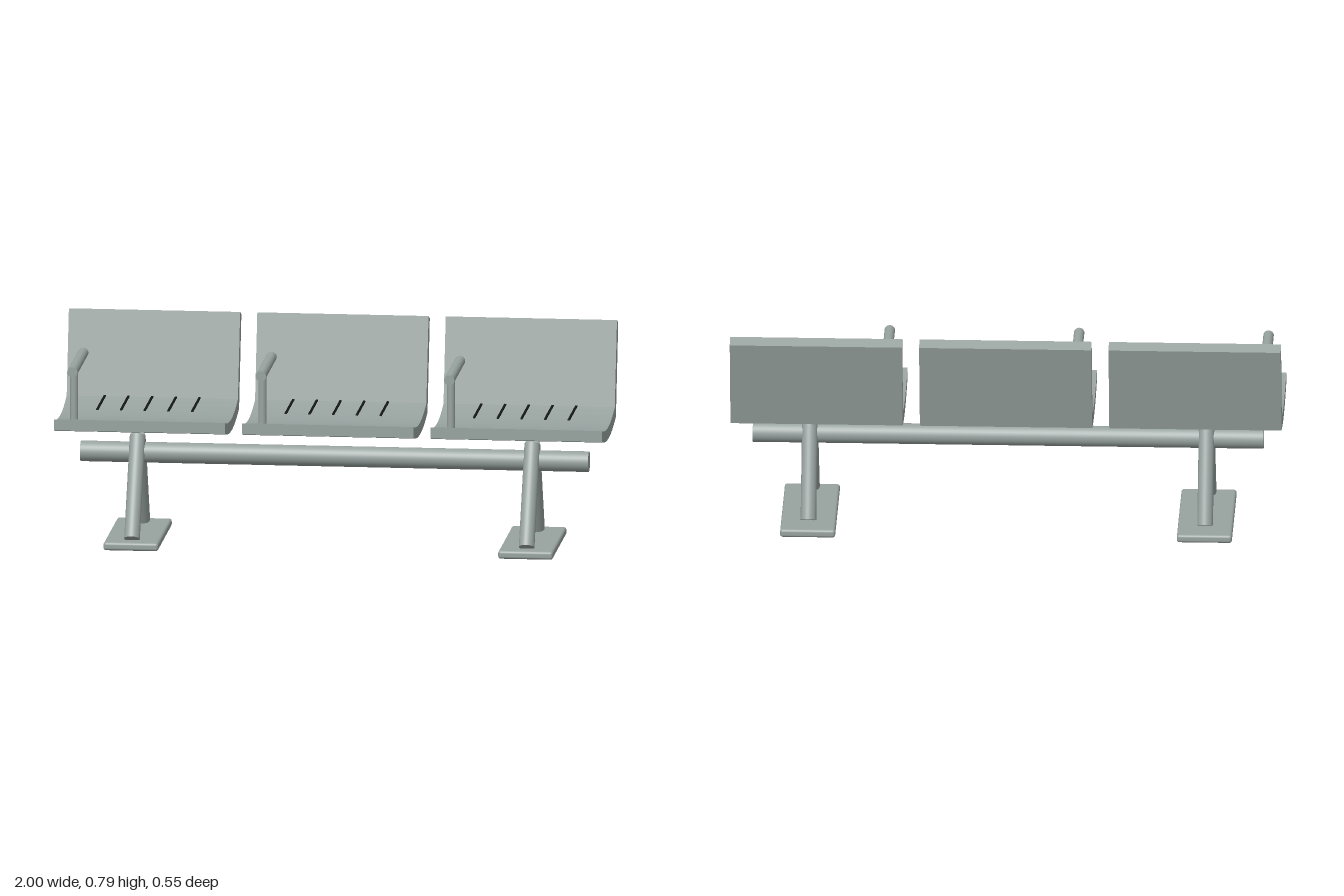
import * as THREE from 'three';
import { toCreasedNormals } from 'three/addons/utils/BufferGeometryUtils.js';
import { RoundedBoxGeometry } from 'three/addons/geometries/RoundedBoxGeometry.js';

const SEAT_WIDTH = 0.625;
const SEAT_SPACING = 0.6875;
const BEAM_Y = 0.32;
const BEAM_Z = 0.035;

export function createModel() {
  const metal = new THREE.MeshStandardMaterial({ color: 0x98a3a0 });
  metal.name = 'grey metal';
  const dark = new THREE.MeshStandardMaterial({ color: 0x141616 });
  dark.name = 'slot black';

  const add = (parent, name, geometry, material = metal) => {
    const mesh = new THREE.Mesh(geometry, material);
    mesh.name = name;
    parent.add(mesh);
    return mesh;
  };

  // Round tube between two points
  const tube = (parent, name, from, to, radius) => {
    const a = new THREE.Vector3(...from);
    const b = new THREE.Vector3(...to);
    const dir = b.clone().sub(a);
    const mesh = add(parent, name, new THREE.CylinderGeometry(radius, radius, dir.length(), 32));
    mesh.position.copy(a).add(b).multiplyScalar(0.5);
    mesh.quaternion.setFromUnitVectors(new THREE.Vector3(0, 1, 0), dir.normalize());
    return mesh;
  };

  // Side profile of seat and backrest (shape x becomes z)
  const profile = new THREE.Shape();
  profile.moveTo(0.275, 0.483);
  profile.quadraticCurveTo(0.058, 0.426, -0.158, 0.484);
  profile.lineTo(-0.232, 0.792);
  profile.lineTo(-0.274, 0.775);
  profile.lineTo(-0.197, 0.442);
  profile.quadraticCurveTo(0.039, 0.38, 0.275, 0.442);
  profile.closePath();
  const shell = new THREE.ExtrudeGeometry(profile, {
    depth: SEAT_WIDTH, bevelEnabled: false, curveSegments: 20,
  });
  shell.translate(0, 0, -SEAT_WIDTH / 2);
  shell.rotateY(-Math.PI / 2);
  const shellGeometry = toCreasedNormals(shell, 0.3);

  const bench = new THREE.Group();
  bench.name = 'bench';

  // Three seats, each with slots and an armrest on its right side
  for (let i = -1; i <= 1; i++) {
    const seat = new THREE.Group();
    seat.name = 'seat';
    seat.position.x = i * SEAT_SPACING;
    bench.add(seat);
    add(seat, 'seatShell', shellGeometry);
    for (let s = -2; s <= 2; s++) {
      const slot = add(seat, 'seatSlot', new THREE.BoxGeometry(0.008, 0.004, 0.256), dark);
      slot.position.set(s * 0.0865, 0.487, -0.027);
    }
    tube(seat, 'armrestBar', [-0.25, 0.648, 0.225], [-0.25, 0.648, -0.137], 0.019);
    tube(seat, 'armrestPost', [-0.25, 0.45, 0.163], [-0.25, 0.636, 0.163], 0.0145);
  }

  // Long support beam
  tube(bench, 'beam', [-0.927, BEAM_Y, BEAM_Z], [0.927, BEAM_Y, BEAM_Z], 0.0375);

  // Splayed leg pairs on foot plates
  for (const side of [-1, 1]) {
    const support = new THREE.Group();
    support.name = side > 0 ? 'leftSupport' : 'rightSupport';
    support.position.x = side * 0.72;
    bench.add(support);
    tube(support, 'frontLeg', [0, 0.037, 0.225], [0, 0.381, 0.036], 0.0285);
    tube(support, 'rearLeg', [0, 0.039, -0.12], [0, 0.381, 0.033], 0.0285);
    const plate = add(support, 'footPlate', new RoundedBoxGeometry(0.2, 0.03, 0.47, 4, 0.01));
    plate.position.set(0, 0.015, BEAM_Z);
  }

  return bench;
}
